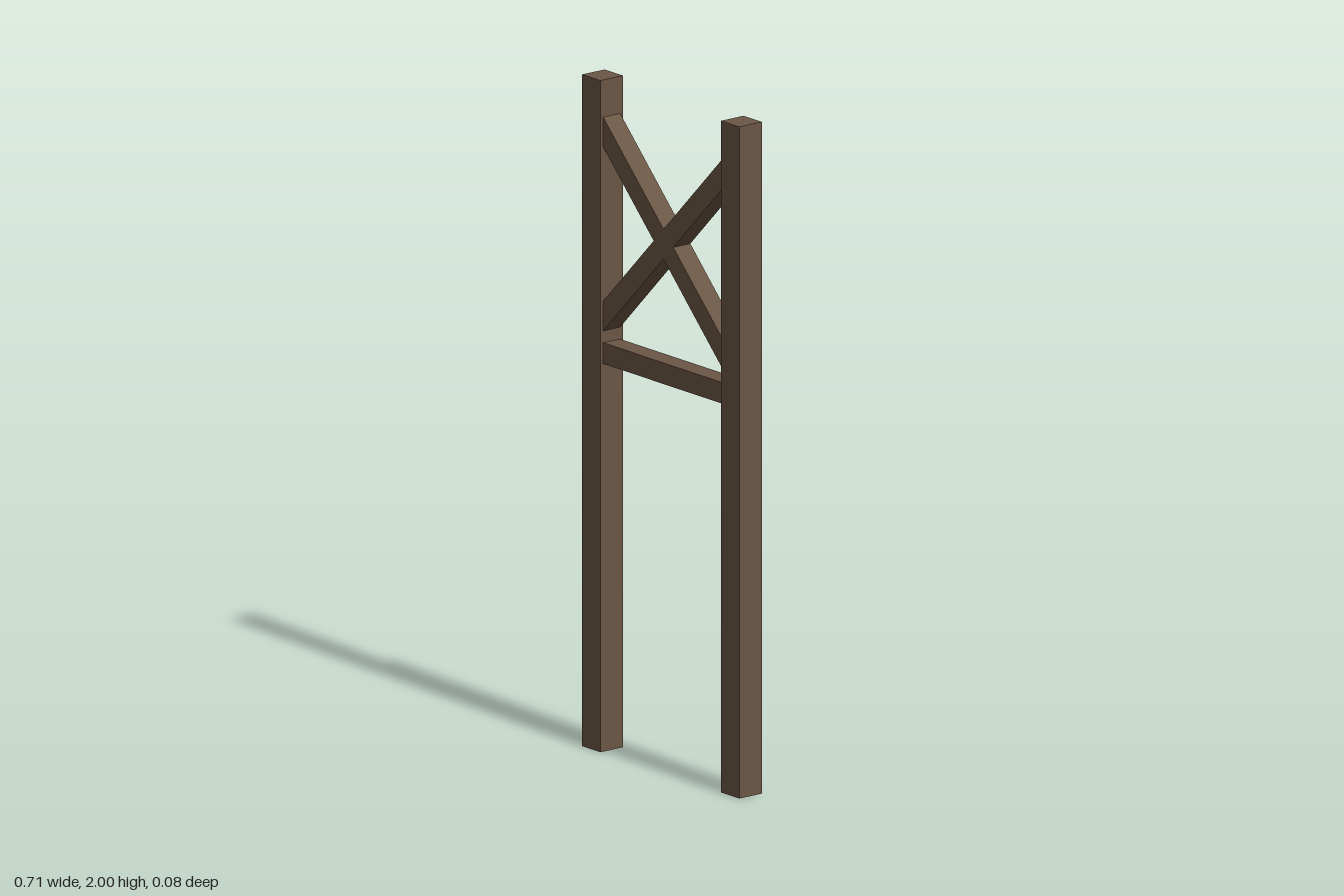
import * as THREE from 'three';

export function createModel() {
  const model = new THREE.Group();
  model.name = 'timberFrame';
  const wood = new THREE.MeshStandardMaterial({ color: 0x6b5645, flatShading: true });

  const POST_X = 0.315;  // post centre line
  const POST = 0.083;    // post section
  const BAR = 0.063;     // rail and brace section

  function beam(name, width, height, depth, x, y, tilt = 0) {
    const mesh = new THREE.Mesh(new THREE.BoxGeometry(width, height, depth), wood);
    mesh.name = name;
    mesh.position.set(x, y, 0);
    mesh.rotation.z = tilt;
    model.add(mesh);
  }

  // Upright posts and the two crossed braces, mirrored left and right
  for (const [side, s] of [['left', 1], ['right', -1]]) {
    beam(`${side}Post`, POST, 2, POST, s * POST_X, 1);
    // Brace ends are let into the posts
    beam(`${side}Brace`, 2 * POST_X * Math.SQRT2, BAR, BAR, 0, 1.571, s * Math.PI / 4);
  }

  // Horizontal rail under the braces
  beam('crossRail', 2 * POST_X, BAR, BAR, 0, 1.186);

  return model;
}
